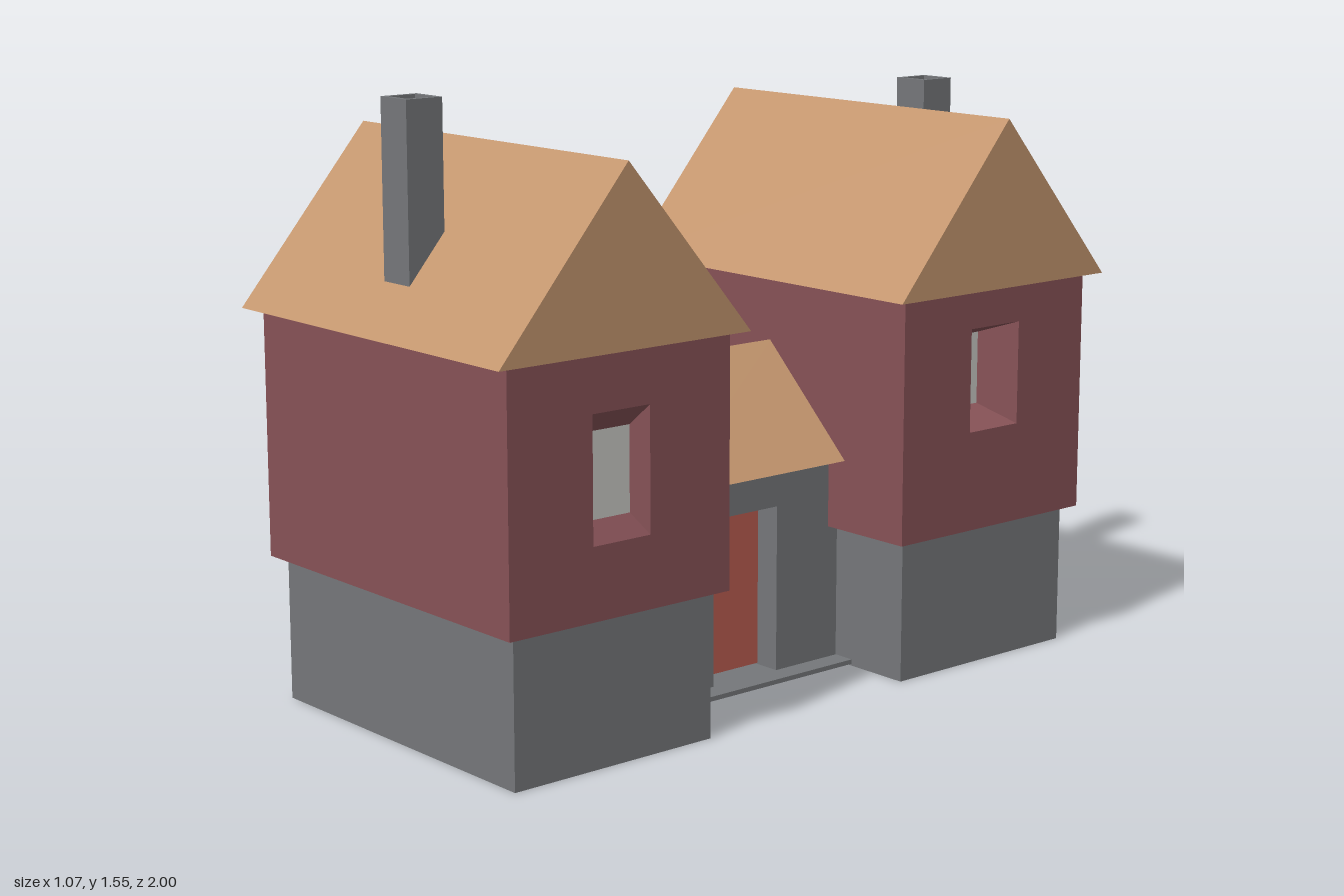
import * as THREE from 'three';

const mat = (name, color, side = THREE.FrontSide) => {
  const m = new THREE.MeshStandardMaterial({ color, side });
  m.name = name;
  return m;
};

export function createModel() {
  const roofMat = mat('tan roof', 0xc4966e);
  const wallMat = mat('dark red wall', 0x875257, THREE.DoubleSide);
  const stoneMat = mat('grey stone', 0x75777a, THREE.DoubleSide);
  const doorMat = mat('red door', 0xb95c51);
  const paneMat = mat('pale pane', 0xc8c8c4);
  const model = new THREE.Group();
  model.name = 'twinHouse';

  const add = (parent, name, geometry, material) => {
    const m = new THREE.Mesh(geometry, material);
    m.name = name;
    parent.add(m);
    return m;
  };

  // Box from its limits on each axis
  const box = (x0, x1, y0, y1, z0, z1) =>
    new THREE.BoxGeometry(x1 - x0, y1 - y0, z1 - z0)
      .translate((x0 + x1) / 2, (y0 + y1) / 2, (z0 + z1) / 2);

  // Four upright sides only
  const openBox = (...limits) => {
    const g = box(...limits);
    const i = Array.from(g.index.array);
    g.setIndex([...i.slice(0, 12), ...i.slice(24)]);
    g.clearGroups();
    return g;
  };

  const rect = (Type, u0, u1, v0, v1) => new Type([
    [u0, v0], [u1, v0], [u1, v1], [u0, v1],
  ].map(([u, v]) => new THREE.Vector2(u, v)));

  const extrude = (shape, depth) =>
    new THREE.ExtrudeGeometry(shape, { depth, bevelEnabled: false });

  // Triangular prism, ridge along z
  const prism = (half, height, length) => extrude(new THREE.Shape([
    new THREE.Vector2(-half, 0), new THREE.Vector2(half, 0), new THREE.Vector2(0, height),
  ]), length).translate(0, 0, -length / 2);

  // Sloping reveal joining two upright rectangles [z0, z1, y0, y1]
  const reveal = (xOut, a, xIn, b) => {
    const ring = (x, [z0, z1, y0, y1]) => [[x, y0, z0], [x, y0, z1], [x, y1, z1], [x, y1, z0]];
    const o = ring(xOut, a), n = ring(xIn, b), p = [];
    for (let i = 0; i < 4; i++) {
      const j = (i + 1) % 4;
      p.push(...o[i], ...n[j], ...o[j], ...o[i], ...n[i], ...n[j]);
    }
    const g = new THREE.BufferGeometry();
    g.setAttribute('position', new THREE.Float32BufferAttribute(p, 3));
    // Face the opening
    g.computeVertexNormals();
    const ny = g.attributes.normal.getY(0);
    if (ny < 0) {
      for (let k = 0; k < p.length; k += 9) {
        const t = p.slice(k, k + 3);
        for (let c = 0; c < 3; c++) { p[k + c] = p[k + 3 + c]; p[k + 3 + c] = t[c]; }
      }
      g.setAttribute('position', new THREE.Float32BufferAttribute(p, 3));
      g.computeVertexNormals();
    }
    return g;
  };

  // One house: plinth, upper walls with a window, roof and chimney
  const house = (name, cx, s, depth, outer, inner, chimneyX, chimneyTop) => {
    const g = new THREE.Group();
    g.name = name;
    model.add(g);
    const z = (a, b) => (s > 0 ? [a, b] : [-b, -a]);
    add(g, 'plinth', openBox(cx - 0.463, cx + 0.463, 0, 0.37, ...z(0.333, 0.925)), stoneMat);

    const xr = cx + 0.493, [z0, z1] = z(0.3, 0.957);
    add(g, 'upperWalls', box(cx - 0.493, xr - depth, 0.37, 1, z0, z1), wallMat);
    const face = rect(THREE.Shape, -z1, -z0, 0.37, 1);
    face.holes.push(rect(THREE.Path, -outer[1], -outer[0], outer[2], outer[3]));
    add(g, 'windowWall', extrude(face, depth).rotateY(Math.PI / 2).translate(xr - depth, 0, 0), wallMat);
    add(g, 'windowReveal', reveal(xr, outer, xr - depth + 0.004, inner), wallMat);
    add(g, 'windowPane', box(xr - depth, xr - depth + 0.004, inner[2], inner[3], inner[0], inner[1]), paneMat);

    add(g, 'roof', prism(0.37, 0.433, 1.045).rotateY(Math.PI / 2).translate(cx, 1, s * 0.63), roofMat);

    // Hollow chimney with a sunken plug
    const tube = rect(THREE.Shape, -0.051, 0.051, -0.051, 0.051);
    tube.holes.push(rect(THREE.Path, -0.038, 0.038, -0.038, 0.038));
    const low = 1.08;
    add(g, 'chimney', extrude(tube, chimneyTop - low).rotateX(-Math.PI / 2)
      .translate(chimneyX, low, s * 0.85), stoneMat);
    add(g, 'chimneyPlug', box(chimneyX - 0.038, chimneyX + 0.038, low, chimneyTop - 0.15,
      s * 0.85 - 0.038, s * 0.85 + 0.038), stoneMat);
  };
  house('frontHouse', 0.008, 1, 0.045, [0.545, 0.715, 0.55, 0.86], [0.573, 0.69, 0.6, 0.81], 0.008, 1.55);
  house('backHouse', -0.012, -1, 0.12, [-0.715, -0.54, 0.63, 0.9], [-0.685, -0.567, 0.67, 0.86], -0.01, 1.485);

  // Passage between the houses, with a recessed door
  const passage = new THREE.Group();
  passage.name = 'passage';
  model.add(passage);
  const back = 0.13, out = 0.21;
  add(passage, 'passageFloor', box(-0.305, 0.27, 0.005, 0.017, -0.35, 0.35), stoneMat);
  add(passage, 'passageWalls', box(-0.25, back, 0.017, 0.555, -0.332, 0.332), stoneMat);
  add(passage, 'frontDoorPost', box(back, out, 0.017, 0.555, 0.095, 0.332), stoneMat);
  add(passage, 'backDoorPost', box(back, out, 0.017, 0.555, -0.332, -0.12), stoneMat);
  add(passage, 'lintel', box(back, out, 0.453, 0.555, -0.12, 0.095), stoneMat);
  add(passage, 'door', box(back, back + 0.008, 0.02, 0.453, -0.12, 0.095), doorMat);
  add(passage, 'passageRoof', prism(0.288, 0.277, 0.61).translate(-0.018, 0.555, 0), roofMat);

  return model;
}
